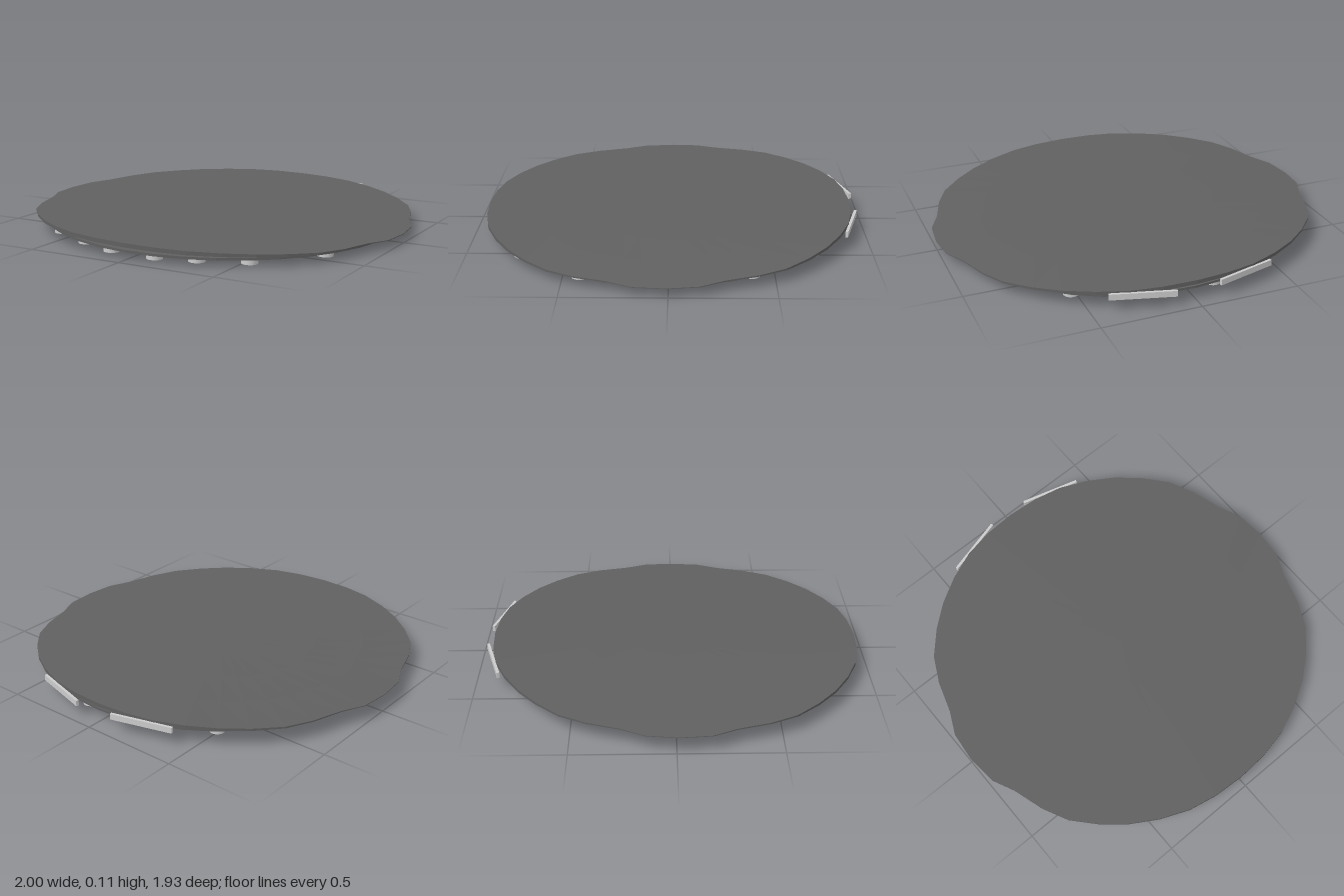
import * as THREE from 'three';

const dark = new THREE.MeshStandardMaterial({ color: 0x606060, flatShading: true });
const grey = new THREE.MeshStandardMaterial({ color: 0xcccccc });

// The whole object leans slightly to one side and forward
const lean = (x, z) => -0.0205 * x - 0.012 * z;

// One quarter of the lid outline, from the front middle round to the side ear
const quarter = [
  [0, 0.95], [0.165, 0.94], [0.315, 0.91], [0.46, 0.85], [0.595, 0.77], [0.71, 0.675],
  [0.815, 0.56], [0.88, 0.43], [0.93, 0.27], [0.985, 0.155], [1, 0],
];
const SEGMENTS = 40;

function lidOutline(i) {
  const k = i % SEGMENTS;
  const half = k % 20;
  const [x, z] = quarter[half <= 10 ? half : 20 - half];
  const sx = k < 20 ? 1 : -1;
  const sz = k <= 10 || k >= 30 ? 1 : -1;
  return [x * sx, z * sz];
}

const circleOutline = (r) => (i) => {
  const a = (i / SEGMENTS) * Math.PI * 2;
  return [Math.sin(a) * r, Math.cos(a) * r];
};

// Closed disc made of scaled outlines; bottom and top give its height at x
function disc(name, outline, bottom, top) {
  const radii = [0, 0.25, 0.5, 0.75, 1];
  const profile = [
    ...radii.map((r) => new THREE.Vector2(r, 0)),
    ...radii.slice().reverse().map((r) => new THREE.Vector2(r, 1)),
  ];
  const geo = new THREE.LatheGeometry(profile, SEGMENTS);
  const pos = geo.attributes.position;
  for (let v = 0; v < pos.count; v++) {
    const p = profile[v % profile.length];
    const [ox, oz] = outline(Math.floor(v / profile.length));
    const x = ox * p.x;
    const z = oz * p.x + 0.01;
    pos.setXYZ(v, x, (p.y ? top(x) : bottom(x)) + lean(x, z), z);
  }
  geo.computeVertexNormals();
  const mesh = new THREE.Mesh(geo, dark);
  mesh.name = name;
  return mesh;
}

export function createModel() {
  const model = new THREE.Group();
  model.name = 'lowRoundBase';

  // Arched lid, recessed core and flat bottom plate
  const lidTop = (x) => 0.097 - 0.028 * x * x;
  const lidUnder = (x) => lidTop(x) - 0.003 - 0.018 * (1 - x * x);
  model.add(disc('lid', lidOutline, lidUnder, lidTop));
  model.add(disc('core', circleOutline(0.9), () => 0.055, (x) => lidUnder(x) + 0.002));
  model.add(disc('bottomPlate', circleOutline(0.937), () => 0.049, () => 0.061));

  // Small round feet near the rim
  const footGeo = new THREE.CylinderGeometry(0.04, 0.04, 0.028, 16);
  const feet = [
    [0.12, 0.88], [0.31, 0.82], [0.53, 0.72], [0.77, 0.42], [0.8, 0.17],
    [0.8, -0.14], [0.77, -0.39], [0.53, -0.69], [0.32, -0.79], [0.12, -0.86],
  ];
  // Slim tabs standing against the back edge
  const tabGeo = new THREE.BoxGeometry(0.318, 0.03, 0.014);

  for (const side of [1, -1]) {
    for (const [fx, z] of feet) {
      const x = fx * side;
      const foot = new THREE.Mesh(footGeo, grey);
      foot.name = 'foot';
      foot.position.set(x, 0.037 + lean(x, z), z);
      foot.rotation.set(-0.012, 0, -0.0205);
      model.add(foot);
    }
    const tab = new THREE.Mesh(tabGeo, grey);
    tab.name = side > 0 ? 'leftBackTab' : 'rightBackTab';
    tab.position.set(0.263 * side, 0.07 + lean(0.263 * side, -0.92), -0.92);
    tab.rotation.y = -0.27 * side;
    model.add(tab);
  }
  return model;
}
